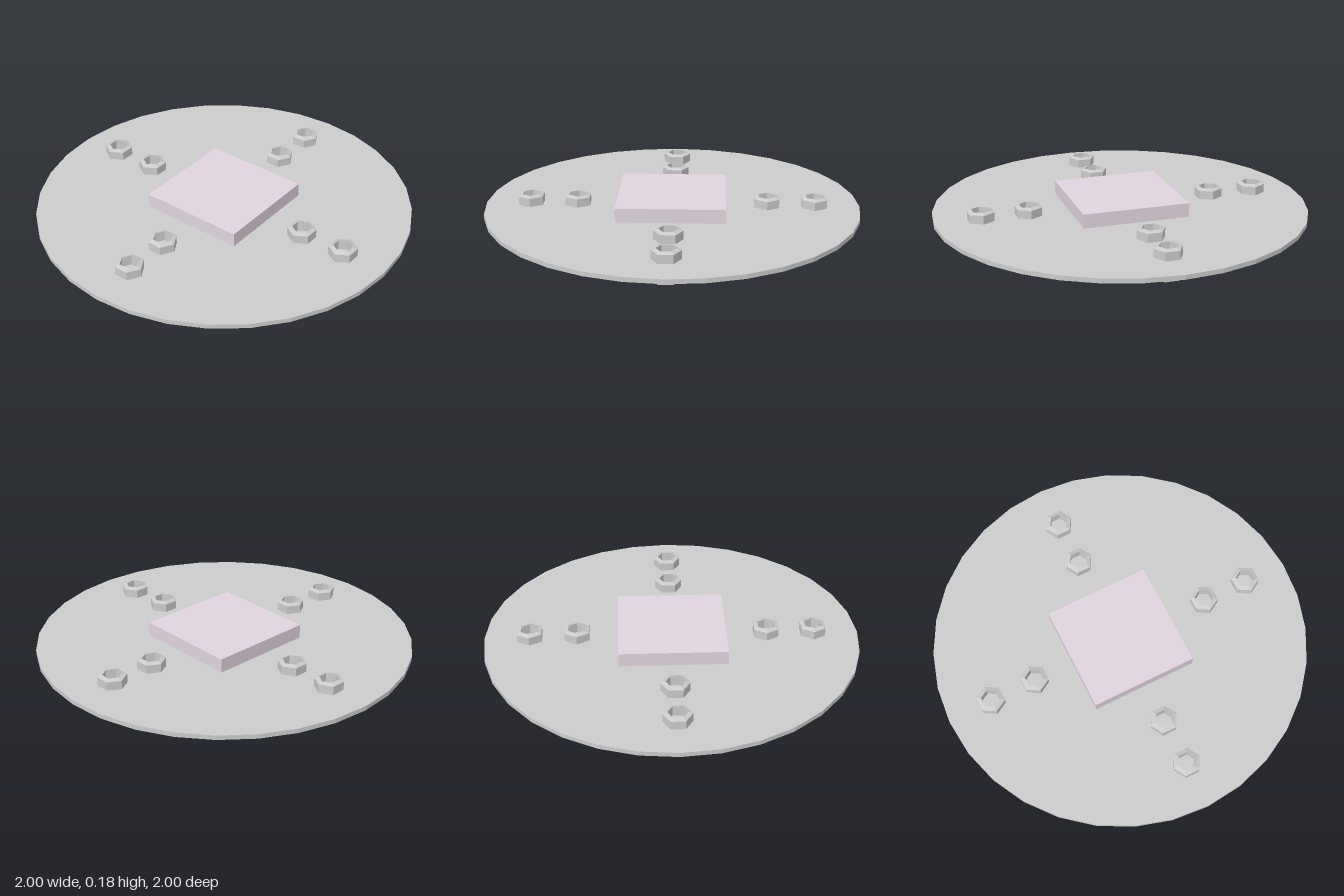
import * as THREE from 'three';

export function createModel() {
  const model = new THREE.Group();
  const grey = new THREE.MeshStandardMaterial({ color: 0xcccccc, flatShading: true });
  const pale = new THREE.MeshStandardMaterial({ color: 0xe0d4de, flatShading: true });

  const add = (name, geometry, material, x, y, z) => {
    const mesh = new THREE.Mesh(geometry, material);
    mesh.name = name;
    mesh.position.set(x, y, z);
    model.add(mesh);
    return mesh;
  };

  // Thin round plate
  add('plate', new THREE.CylinderGeometry(1, 1, 0.024, 32), grey, 0, 0.095, 0);

  // Square block through the middle of the plate
  add('centreBlock', new THREE.BoxGeometry(0.57, 0.118, 0.57), pale, 0, 0.123, 0);

  // Hexagonal bolt: closed foot, sloped rim and a six-sided socket
  const profile = [[0, 0], [0.075, 0], [0.075, 0.153], [0.05, 0.162], [0.05, 0.105], [0, 0.105]];
  const boltGeometry = new THREE.LatheGeometry(profile.map(([r, y]) => new THREE.Vector2(r, y)), 6);

  // Two bolts on each of the four arms
  for (let arm = 0; arm < 4; arm++) {
    const angle = arm * Math.PI / 2;
    for (const [name, radius] of [['innerBolt', 0.505], ['outerBolt', 0.757]]) {
      const bolt = add(name, boltGeometry, grey, Math.cos(angle) * radius, 0, -Math.sin(angle) * radius);
      bolt.rotation.y = angle;
    }
  }
  return model;
}
